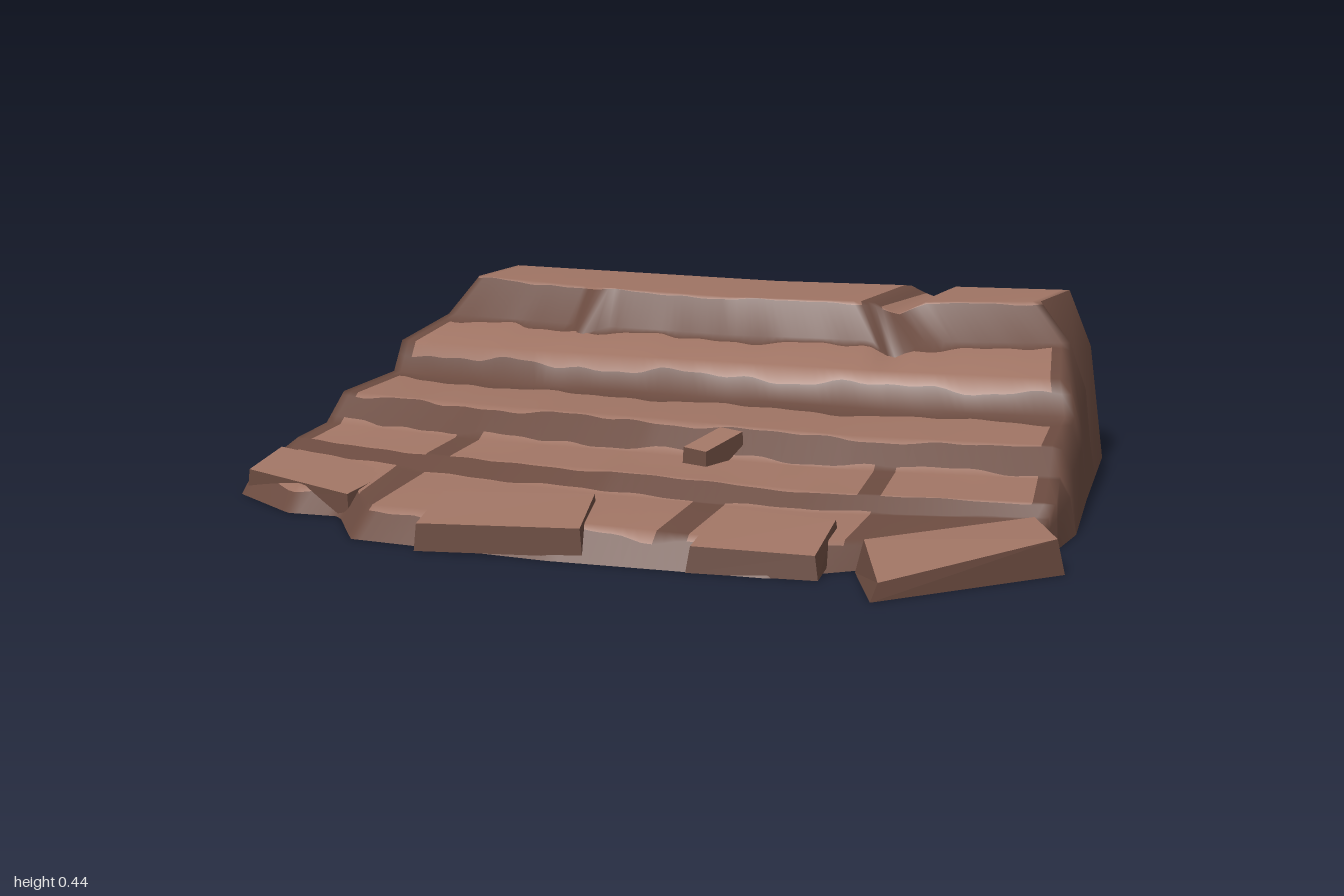
import * as THREE from 'three';

const lightRock = new THREE.MeshStandardMaterial({ name: 'lightRock', color: 0x9e7363, side: THREE.DoubleSide });
const darkRock = new THREE.MeshStandardMaterial({ name: 'darkRock', color: 0x6a4a3f, side: THREE.DoubleSide });

// Ledge lines from back to front: [left x, right x, five z stations, three heights]
const ROWS = [
  [-0.82, 0.77, [-0.77, -0.765, -0.76, -0.76, -0.77], [0.435, 0.425, 0.435]],
  [-0.82, 0.74, [-0.53, -0.45, -0.42, -0.43, -0.55], [0.43, 0.42, 0.43]],
  [-0.88, 0.83, [-0.46, -0.40, -0.37, -0.38, -0.48], [0.33, 0.33, 0.34]],
  [-0.92, 0.87, [-0.27, -0.21, -0.19, -0.21, -0.27], [0.28, 0.29, 0.285]],
  [-0.93, 0.89, [-0.24, -0.17, -0.15, -0.16, -0.24], [0.20, 0.205, 0.20]],
  [-0.92, 0.91, [0.03, 0.10, 0.15, 0.12, 0.00], [0.19, 0.205, 0.18]],
  [-0.93, 0.92, [0.10, 0.20, 0.24, 0.20, 0.08], [0.12, 0.14, 0.12]],
  [-0.95, 0.94, [0.20, 0.32, 0.39, 0.36, 0.22], [0.10, 0.13, 0.10]],
  [-0.96, 0.93, [0.25, 0.40, 0.46, 0.42, 0.25], [0.08, 0.09, 0.07]],
  [-0.96, 0.92, [0.38, 0.62, 0.64, 0.61, 0.27], [0.05, 0.07, 0.05]],
  [-0.97, 0.92, [0.42, 0.70, 0.71, 0.67, 0.28], [0, 0, 0]],
];

// Ground outline of the side walls: [z, x]
const LEFT_FOOT = [[-0.77, -1], [-0.28, -0.95], [0.24, -0.98], [0.42, -0.97]];
const RIGHT_FOOT = [[-0.77, 0.87], [-0.27, 0.92], [0.17, 0.97], [0.28, 0.92]];

const lerp = THREE.MathUtils.lerp;
const bump = (x, centre, width) => Math.max(0, 1 - Math.abs(x - centre) / width);

function sample(list, t) {
  const s = t * (list.length - 1);
  const i = Math.min(Math.floor(s), list.length - 2);
  return lerp(list[i], list[i + 1], s - i);
}

function footX(outline, z) {
  let i = 0;
  while (i < outline.length - 2 && z > outline[i + 1][0]) i++;
  const [[z0, x0], [z1, x1]] = [outline[i], outline[i + 1]];
  return lerp(x0, x1, THREE.MathUtils.clamp((z - z0) / (z1 - z0), 0, 1));
}

function rowPoint(r, t) {
  const [xl, xr, zs, ys] = ROWS[r];
  const x = lerp(xl, xr, t);
  let z = sample(zs, t);
  let y = sample(ys, t);
  if (r <= 2) y -= 0.028 * bump(x, 0.41, 0.06); // cleft through the top ledge
  if (r === 1) z += 0.03 * bump(x, 0.38, 0.07);
  if (r >= 9) z -= 0.09 * bump(x, -0.63, 0.13); // recess in the front edge
  return new THREE.Vector3(x, y, z);
}

function surfacePoint(v, t) {
  const r = Math.min(Math.floor(v), ROWS.length - 2);
  return rowPoint(r, t).lerp(rowPoint(r + 1, t), v - r);
}

const ragged = (t, seed) =>
  0.5 * Math.sin(t * 23 + seed * 2.1) + 0.3 * Math.sin(t * 51 + seed * 4.3) + 0.2 * Math.sin(t * 97 + seed);

// Ragged colour edges: [position between ledge lines, raggedness]
const EDGES = [[1.06, 0.05], [2.24, 0.14], [3.4, 0.16], [4.27, 0.1], [5.12, 0.1],
  [5.86, 0.12], [7.1, 0.08], [7.88, 0.1], [9.2, 0.17]];

function stratifiedRock() {
  const N = 80;
  const levels = ROWS.map((_, i) => ({ v: i, amp: 0, edge: false }));
  EDGES.forEach(([v, amp]) => levels.push({ v, amp, edge: true }));
  levels.sort((a, b) => a.v - b.v);

  const positions = [];
  const addWall = (p, outline, inner) => {
    const fx = footX(outline, p.z);
    const mid = [lerp(p.x, fx, 0.6), p.y * 0.67, p.z];
    const foot = [fx, 0, p.z];
    positions.push(...(inner ? [...mid, ...foot] : [...foot, ...mid]));
  };
  levels.forEach(({ v, amp }, k) => {
    const at = (t) => {
      let w = v + amp * ragged(t, k);
      if (k === 3) w += 0.4 * (bump(t, 0.27, 0.03) + bump(t, 0.765, 0.04)); // dark notches
      return surfacePoint(w, t);
    };
    addWall(at(0), LEFT_FOOT, false);
    for (let c = 0; c <= N; c++) positions.push(...at(c / N).toArray());
    addWall(at(1), RIGHT_FOOT, true);
  });

  // Dark breaks across the two lowest light bands
  const isGap = (band, t) => {
    const x = lerp(-0.94, 0.92, t);
    if (band === 0) return x > 0.4 && x < 0.47;
    if (t < 0.03 || t > 0.97) return true;
    if (band === 6) return (x > -0.52 && x < -0.45) || (x > 0.52 && x < 0.56);
    if (band === 8) return (x > -0.57 && x < -0.48) || (x > 0.19 && x < 0.26) || x > 0.56;
    return false;
  };

  const cols = N + 5;
  const light = [];
  const dark = [];
  let band = 0;
  for (let k = 0; k < levels.length - 1; k++) {
    if (levels[k].edge) band++;
    for (let c = 0; c < cols - 1; c++) {
      const wall = c < 2 || c >= N + 2;
      const isLight = band % 2 === 0 && !wall && !isGap(band, (c - 1.5) / N);
      const a = k * cols + c;
      const b = a + cols;
      (isLight ? light : dark).push(a, b, b + 1, a, b + 1, a + 1);
    }
  }
  const geo = new THREE.BufferGeometry();
  geo.setAttribute('position', new THREE.Float32BufferAttribute(positions, 3));
  geo.setIndex([...light, ...dark]);
  geo.addGroup(0, light.length, 0);
  geo.addGroup(light.length, dark.length, 1);
  geo.computeVertexNormals();
  const mesh = new THREE.Mesh(geo, [lightRock, darkRock]);
  mesh.name = 'steppedLedges';
  return mesh;
}

// Loose slab: four [x, y, z] top corners clockwise from the back left, and a base height
function slab(name, footprint, baseDrop, inset) {
  const foot = footprint.map((p) => new THREE.Vector3(...p));
  const centre = foot.reduce((s, p) => s.add(p), new THREE.Vector3()).multiplyScalar(0.25);
  const top = foot.map((p) => p.clone().lerp(new THREE.Vector3(centre.x, p.y, centre.z), inset));
  const base = foot.map((p) => new THREE.Vector3(p.x, Math.max(0, p.y - baseDrop), p.z));
  const tris = [];
  const quad = (a, b, c, d) => [a, b, c, a, c, d].forEach((p) => tris.push(...p.toArray()));
  quad(top[3], top[2], top[1], top[0]);
  for (let i = 0; i < 4; i++) {
    const j = (i + 1) % 4;
    quad(top[i], top[j], base[j], base[i]);
  }
  quad(base[0], base[1], base[2], base[3]);
  const geo = new THREE.BufferGeometry();
  geo.setAttribute('position', new THREE.Float32BufferAttribute(tris, 3));
  geo.addGroup(0, 6, 0);
  geo.addGroup(6, 30, 1);
  geo.computeVertexNormals();
  const mesh = new THREE.Mesh(geo, [lightRock, darkRock]);
  mesh.name = name;
  return mesh;
}

export function createModel() {
  const model = new THREE.Group();
  model.name = 'rockLedges';
  model.add(
    stratifiedRock(),
    slab('frontSlab', [[-0.35, 0.09, 0.56], [0, 0.1, 0.5], [0.05, 0.07, 0.69], [-0.32, 0.06, 0.74]], 0.06, 0.03),
    slab('looseSideSlab', [[0.92, 0.085, 0.28], [1, 0.075, 0.42], [0.69, 0.035, 0.76], [0.6, 0.07, 0.56]], 0.1, 0.08),
    slab('smallStone', [[0.16, 0.2, 0.17], [0.22, 0.195, 0.18], [0.17, 0.165, 0.29], [0.11, 0.17, 0.28]], 0.05, 0.04),
    slab('lowFrontBlock', [[0.27, 0.09, 0.47], [0.54, 0.085, 0.47], [0.55, 0.05, 0.65], [0.28, 0.055, 0.69]], 0.06, 0.06),
    slab('leftFrontBlock', [[-0.97, 0.085, 0.25], [-0.57, 0.08, 0.38], [-0.6, 0.055, 0.54], [-0.96, 0.06, 0.41]], 0.08, 0.04),
  );
  return model;
}
